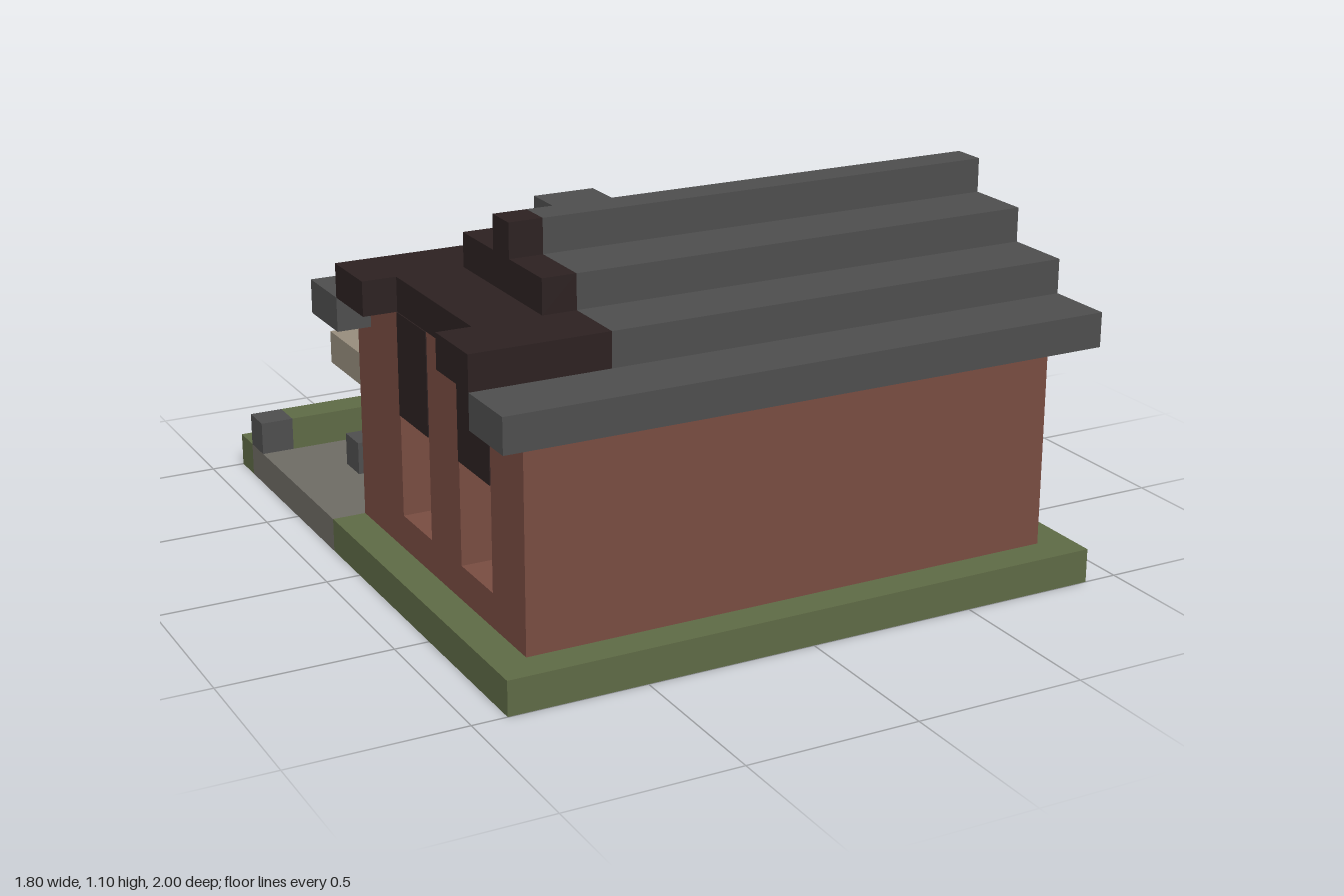
import * as THREE from 'three';

const mat = (name, color) => {
  const m = new THREE.MeshStandardMaterial({ color });
  m.name = name;
  return m;
};

export function createModel() {
  const model = new THREE.Group();
  model.name = 'blockHouse';

  const grass = mat('grass green', 0x5e6a45);
  const paving = mat('paving grey', 0x6e6b64);
  const stone = mat('stone grey', 0x6a695e);
  const beige = mat('pale stone', 0x978d7d);
  const brick = mat('brick red', 0x784c41);
  const slate = mat('slate grey', 0x4e4e4e);
  const charred = mat('charred brown', 0x2c2121);

  // All coordinates are in blocks of 0.1 units, given as min and max corners.
  const box = (name, m, x0, x1, y0, y1, z0, z1, parent = model) => {
    const g = new THREE.BoxGeometry((x1 - x0) / 10, (y1 - y0) / 10, (z1 - z0) / 10);
    const mesh = new THREE.Mesh(g, m);
    mesh.position.set((x0 + x1) / 20, (y0 + y1) / 20, (z0 + z1) / 20);
    mesh.name = name;
    parent.add(mesh);
  };
  const mirrored = (name, m, x0, x1, ...rest) => {
    box(name + 'Left', m, x0, x1, ...rest);
    box(name + 'Right', m, -x1, -x0, ...rest);
  };

  // Ground slab
  box('frontLawn', grass, -9, 9, 0, 1, 9, 10);
  mirrored('sideLawn', grass, 8, 9, 0, 1, -2, 9);
  mirrored('backLawn', grass, 2, 9, 0, 1, -10, -9);
  box('houseFloor', paving, -8, 8, 0, 1, -2, 9);
  box('yard', paving, -9, 9, 0, 1, -9, -4);
  mirrored('yardSide', paving, 2, 9, 0, 1, -4, -2);
  box('porchFloor', brick, -2, 2, 0, 1, -4, -2);
  box('gardenPath', paving, -2, 2, 0, 1, -10, -9);

  // Hedges between fence posts
  mirrored('hedge', grass, 3, 8, 1, 2, -9, -8);
  mirrored('innerPost', slate, 2, 3, 1, 2, -9, -8);
  mirrored('outerPost', slate, 8, 9, 1, 2, -9, -8);

  // Front wall
  box('frontWall', brick, -8, 8, 1, 7, 8, 9);

  // Back wall with one window on each side of the porch
  box('backWallFoot', brick, -8, 8, 1, 2, -2, -1);
  box('backWallTop', brick, -8, 8, 5, 7, -2, -1);
  box('backWallMiddle', brick, -3, 3, 2, 5, -2, -1);
  mirrored('backWallEnd', brick, 6, 8, 2, 5, -2, -1);
  box('backWindow', slate, 3, 6, 2, 5, -1, -0.95);
  box('burntBackWindow', charred, -6, -3, 2, 5, -1, -0.95);

  // Gable walls with two recessed windows each
  for (const side of [1, -1]) {
    const wall = new THREE.Group();
    wall.name = side > 0 ? 'leftGableWall' : 'rightGableWall';
    model.add(wall);
    const x0 = side > 0 ? 7 : -8, x1 = x0 + 1;
    const pane = side > 0 ? [6.95, 7] : [-7, -6.95];
    box('wallFoot', brick, x0, x1, 1, 2, -1, 8, wall);
    for (const [z0, z1] of [[-1, 1], [3, 5], [7, 8]]) box('windowPier', brick, x0, x1, 2, 5, z0, z1, wall);
    box('wallTop', brick, x0, x1, 5, 7, -1, 8, wall);
    box('gableStep', brick, x0, x1, 7, 8, -1, 8, wall);
    if (side > 0) {
      box('gableStep', brick, x0, x1, 8, 9, 1, 6, wall);
      box('gableStep', brick, x0, x1, 9, 10, 3, 4, wall);
    }
    for (const z of [1, 5]) {
      box('windowPane', side > 0 ? slate : charred, ...pane, 2, 5, z, z + 2, wall);
      if (side < 0) box('sootMark', charred, -8.03, -8, 5, 8, z, z + 2, wall);
    }
  }

  // Stepped main roof: bottom height, back, front, burnt or not
  const courses = [
    [7, 8, 10, false], [8, 6, 8, true], [9, 4, 6, true], [10, 3, 4, true],
    [9, 1, 3, true], [8, -1, 1, true], [7, -3, -1, false],
  ];
  for (const [y, z0, z1, burnt] of courses) {
    box('roofCourse', slate, burnt ? -5 : -9, 9, y, y + 1, z0, z1);
    if (burnt) box('charredCourse', charred, y > 8 ? -6 : -9, -5, y, y + 1, z0, z1);
  }
  // Collapsed part of the roof
  box('charredAttic', charred, -8, -5, 8, 9, 1, 6);
  box('charredRidgeCore', charred, -6, -5, 9, 10, 3, 4);

  // Porch with recessed door
  box('porchCore', brick, -2, 2, 1, 6, -3, -2);
  mirrored('porchPier', brick, 1, 2, 1, 5, -4, -3);
  box('porchLintel', brick, -2, 2, 5, 6, -4, -3);
  box('door', stone, -1, 1, 1, 5, -3.05, -3);
  box('porchGableLower', beige, -2, 2, 6, 7, -4, -2);
  box('porchGableUpper', beige, -1, 1, 7, 8, -4, -3);
  box('porchRidge', slate, -1, 1, 8, 9, -5, -1);
  mirrored('porchRoofMiddle', slate, 1, 2, 7, 8, -5, -3);
  mirrored('porchRoofEave', slate, 2, 3, 6, 7, -5, -2);

  // Two garden pillars with square caps
  for (const [x, cap, name] of [[4, stone, 'leftPillar'], [-6, beige, 'rightPillar']]) {
    const pillar = new THREE.Group();
    pillar.name = name;
    model.add(pillar);
    box('shaft', stone, x, x + 1, 1, 4, -6, -5, pillar);
    box('cap', cap, x - 1, x + 2, 4, 5, -7, -4, pillar);
    box('finial', cap, x, x + 1, 5, 6, -6, -5, pillar);
    box('outerFoot', slate, x + 1, x + 2, 1, 2, -6, -5, pillar);
    if (x < 0) box('innerFoot', slate, x - 1, x, 1, 2, -6, -5, pillar);
  }

  // Low T-shaped bench beside the left pillar
  box('benchSeat', stone, 0, 3, 1, 2, -6, -5);
  box('benchEnd', stone, 3, 4, 1, 2, -7, -4);

  return model;
}
